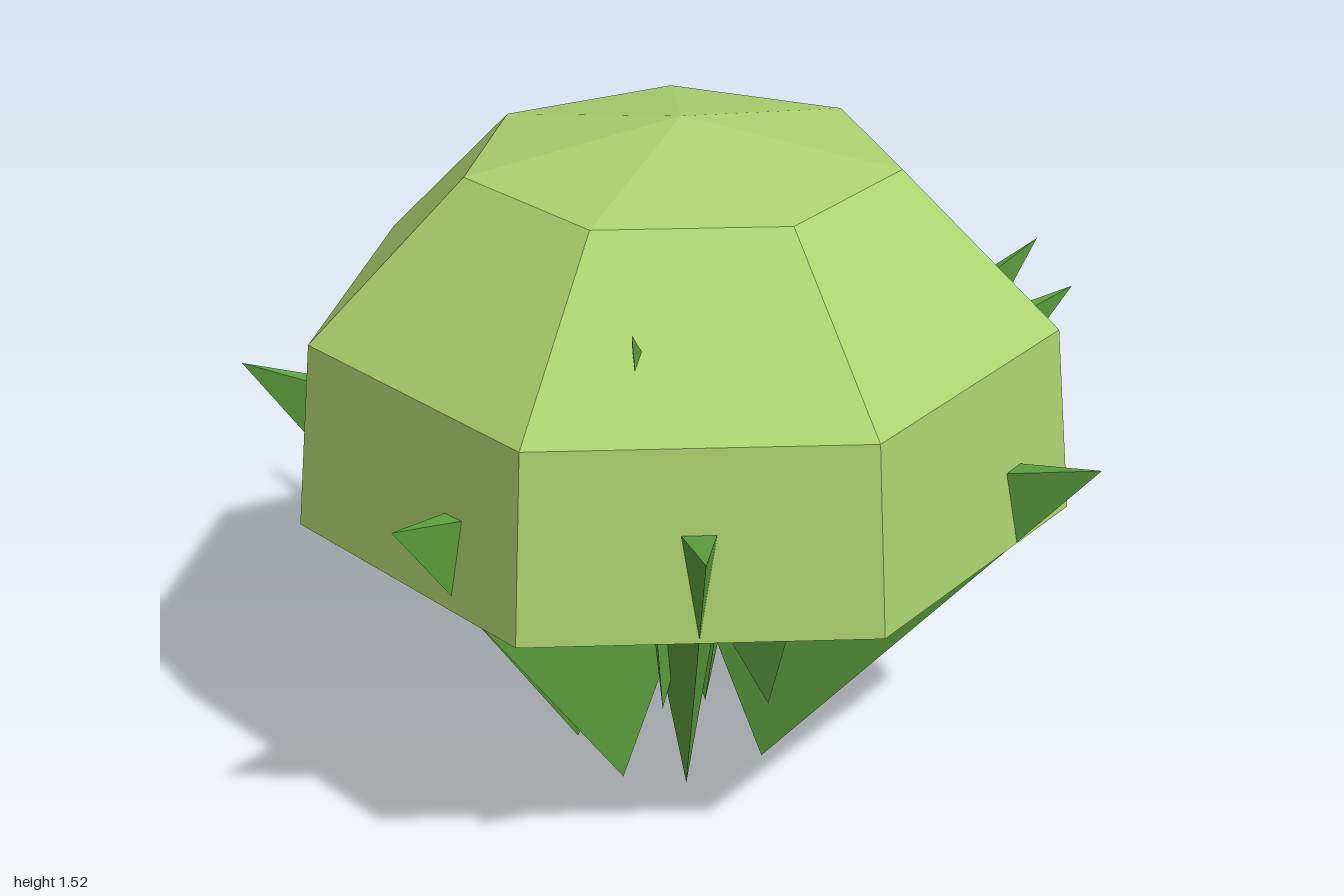
import * as THREE from 'three';
import { ConvexGeometry } from 'three/addons/geometries/ConvexGeometry.js';

const CX = -0.01, CZ = 0.01; // body axis

// Four-cornered blade: outer tip, lower tip and a broad edge hidden at the axis
function bladeGeometry([x, y, z], lowRadius, lowY, innerY, halfWidth) {
  const dir = new THREE.Vector3(x - CX, 0, z - CZ).normalize();
  const side = new THREE.Vector3(-dir.z, 0, dir.x).multiplyScalar(halfWidth);
  const axis = new THREE.Vector3(CX, innerY, CZ);
  return new ConvexGeometry([
    new THREE.Vector3(x, y, z),
    new THREE.Vector3(CX, lowY, CZ).addScaledVector(dir, lowRadius),
    axis.clone().add(side),
    axis.clone().sub(side),
  ]);
}

export function createModel() {
  const model = new THREE.Group();
  const flesh = new THREE.MeshStandardMaterial({ color: 0xadd370 });
  flesh.name = 'light green';
  const leaf = new THREE.MeshStandardMaterial({ color: 0x60a541 });
  leaf.name = 'leaf green';

  // Seven-sided faceted body with a short stem below
  const profile = [
    [0, 0.4], [0.29, 0.4], [0.31, 0.605], [0.853, 0.675],
    [0.815, 1.09], [0.471, 1.43], [0, 1.52],
  ].map(([r, y]) => new THREE.Vector2(r, y));
  const bodyGeo = new THREE.LatheGeometry(profile, 7, Math.PI / 2).toNonIndexed();
  bodyGeo.computeVertexNormals();
  const body = new THREE.Mesh(bodyGeo, flesh);
  body.name = 'body';
  body.position.set(CX, 0, CZ);
  model.add(body);

  const addBlades = (name, list, innerY, halfWidth) => {
    const group = new THREE.Group();
    group.name = name + 's';
    for (const [tip, lowRadius, lowY] of list) {
      const mesh = new THREE.Mesh(bladeGeometry(tip, lowRadius, lowY, innerY, halfWidth), leaf);
      mesh.name = name;
      group.add(mesh);
    }
    model.add(group);
  };

  // Large blades: outer tip, radius and height of the lower tip
  addBlades('largeBlade', [
    [[0.92, 0.88, 0.25], 0.2, 0.01],
    [[0.21, 0.97, 0.99], 0.22, 0.02],
    [[-0.44, 0.92, 0.86], 0.22, 0.01],
    [[-0.92, 1.0, 0.28], 0.24, 0.03],
    [[-0.8, 0.95, -0.71], 0.2, 0.0],
    [[0.13, 0.88, -0.99], 0.18, 0.01],
    [[0.8, 0.93, -0.64], 0.2, 0.01],
  ], 0.72, 0.14);

  // Small inner blades that barely pierce the upper facets
  addBlades('smallBlade', [
    [[0.01, 1.3, 0.68], 0.29, 0.25],
    [[0.45, 1.2, 0.4], 0.3, 0.23],
    [[0.735, 1.2, -0.235], 0.3, 0.2],
    [[0.13, 1.13, -0.68], 0.28, 0.22],
    [[-0.47, 1.27, -0.36], 0.29, 0.23],
    [[-0.52, 1.2, 0.25], 0.32, 0.26],
  ], 0.65, 0.1);

  return model;
}
